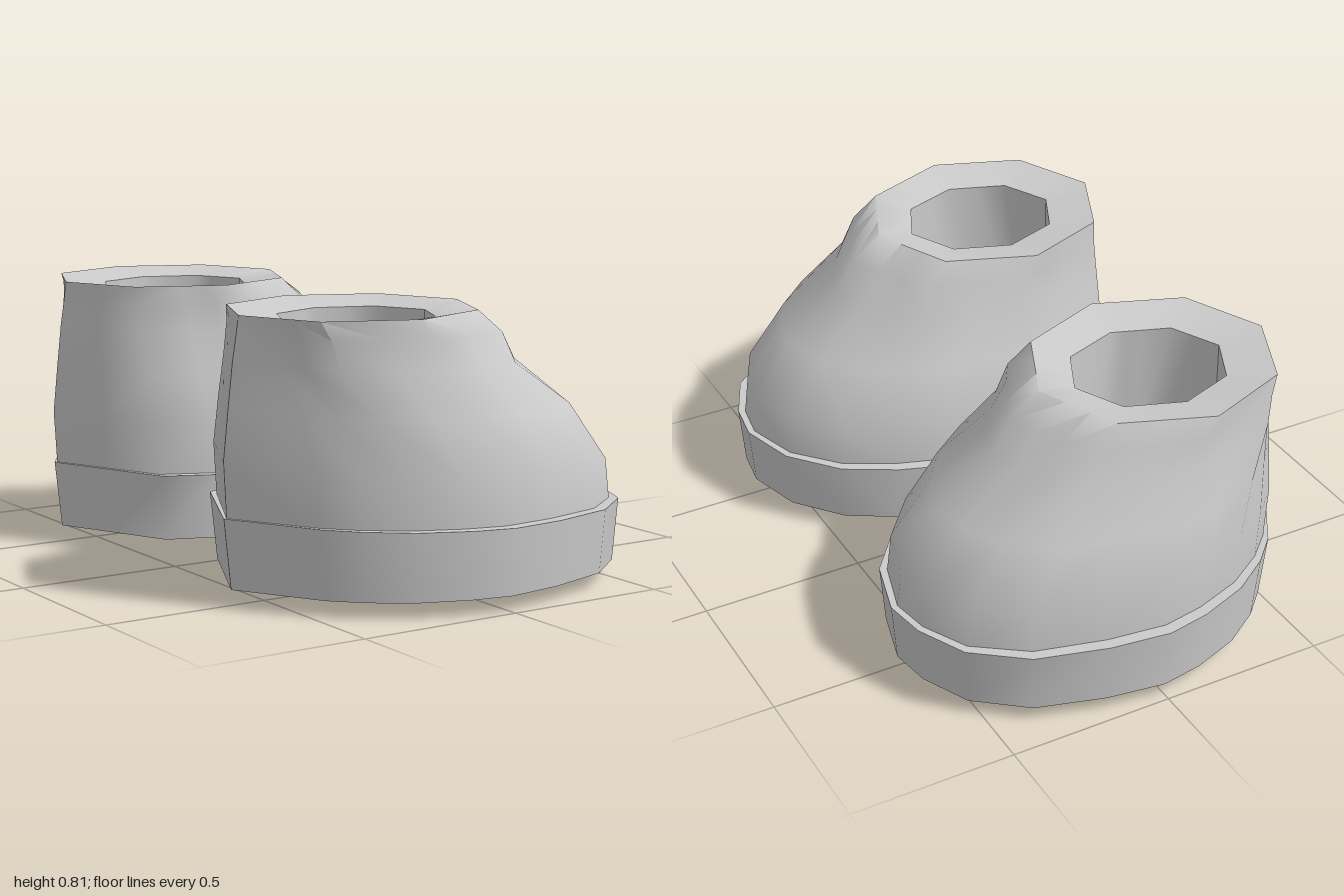
import * as THREE from 'three';
import { toCreasedNormals } from 'three/addons/utils/BufferGeometryUtils.js';

const material = new THREE.MeshStandardMaterial({ color: 0xcccccc, side: THREE.DoubleSide });

// Sole outline: toe, round the outer side to the heel point, back along the inner side
const OUTLINE = [
  [0.63, 0], [0.61, 0.13], [0.54, 0.28], [0.39, 0.4], [0.18, 0.463], [0, 0.49], [-0.13, 0.468],
  [-0.28, 0.415], [-0.4, 0.335], [-0.48, 0.255], [-0.635, 0], [-0.55, -0.18], [-0.46, -0.37],
  [-0.3, -0.425], [-0.13, -0.47], [0.01, -0.488], [0.17, -0.475], [0.31, -0.42], [0.46, -0.33], [0.58, -0.18],
].map(([x, z]) => [(x + 0.0025) / 0.6325, z / 0.49]);

// Matching points on the octagon of the ankle opening
const OCTAGON = [
  0, 15, 30, 45, 67.5, 90, 112.5, 135, 150, 165, 180, 202.5, 225, 247.5, 259, 270, 292.5, 315, 330, 345,
].map((deg) => {
  const rad = Math.PI / 180;
  const r = Math.cos(22.5 * rad) / Math.cos(((deg % 45) - 22.5) * rad);
  return [r * Math.cos(deg * rad), r * Math.sin(deg * rad)];
});

// One cross-section: extent in x, half width, height at heel and toe, 0 = sole outline, 1 = octagon
function section(back, front, halfWidth, yBack, yFront, blend = 0) {
  return OUTLINE.map(([ox, oz], i) => {
    const u = THREE.MathUtils.lerp(ox, OCTAGON[i][0], blend);
    const w = THREE.MathUtils.lerp(oz, OCTAGON[i][1], blend);
    const t = (u + 1) / 2;
    return [back + (front - back) * t, yBack + (yFront - yBack) * t, w * halfWidth];
  });
}

// A section shrunk to its middle, closing a surface
const point = (x, y) => section(x, x, 0, y, y);

// Skins the sections; side = 1 or -1 mirrors the shoe across z
function loft(name, sections, side) {
  const n = OUTLINE.length;
  const positions = [];
  const index = [];
  for (const ring of sections) for (const [x, y, z] of ring) positions.push(x, y, side * z);
  for (let k = 0; k < sections.length - 1; k++) {
    for (let i = 0; i < n; i++) {
      const j = (i + 1) % n;
      const a = k * n + i, b = k * n + j, c = a + n, d = b + n;
      if (side > 0) index.push(a, c, d, a, d, b);
      else index.push(a, d, c, a, b, d);
    }
  }
  const geometry = new THREE.BufferGeometry();
  geometry.setAttribute('position', new THREE.Float32BufferAttribute(positions, 3));
  geometry.setIndex(index);
  const mesh = new THREE.Mesh(toCreasedNormals(geometry, THREE.MathUtils.degToRad(50)), material);
  mesh.name = name;
  return mesh;
}

function shoe(name, side) {
  const group = new THREE.Group();
  group.name = name;
  // Slightly domed underside, flared wall and narrow ledge
  group.add(loft('sole', [
    point(0.05, 0.005),
    section(-0.33, 0.46, 0.3, 0, 0.015),
    section(-0.613, 0.615, 0.475, 0.047, 0.042),
    section(-0.635, 0.63, 0.49, 0.25, 0.225),
    section(-0.615, 0.6, 0.445, 0.25, 0.225),
  ], side));
  // Rounded upper narrowing to the ankle, rolled rim
  const rim = section(-0.585, 0.155, 0.345, 0.81, 0.808, 1);
  const mouth = section(-0.44, 0.04, 0.21, 0.785, 0.785, 1);
  group.add(loft('upper', [
    section(-0.625, 0.612, 0.452, 0.23, 0.21),
    section(-0.635, 0.595, 0.45, 0.41, 0.34),
    section(-0.62, 0.48, 0.415, 0.55, 0.51, 0.25),
    section(-0.605, 0.305, 0.365, 0.68, 0.65, 0.7),
    section(-0.592, 0.25, 0.357, 0.76, 0.74, 0.85),
    rim,
    mouth,
  ], side));
  // Foot opening
  group.add(loft('opening', [
    mouth,
    section(-0.44, 0.04, 0.21, 0.45, 0.45, 1),
    point(-0.2, 0.45),
  ], side));
  group.position.z = side * 0.51;
  return group;
}

export function createModel() {
  const model = new THREE.Group();
  model.name = 'pairOfShoes';
  model.add(shoe('frontShoe', 1), shoe('rearShoe', -1));
  return model;
}
